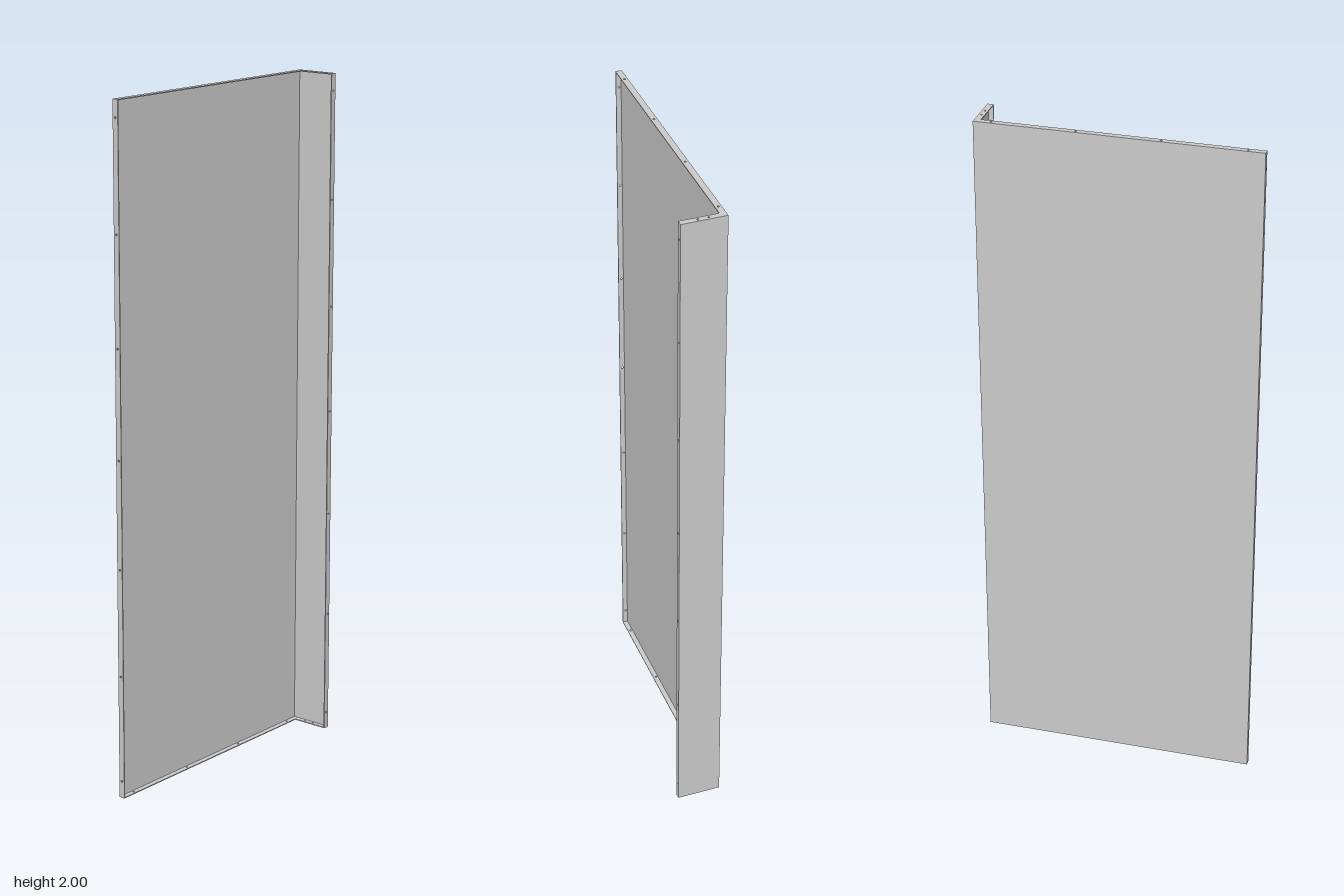
import * as THREE from 'three';

const HEIGHT = 2, LENGTH = 0.815, RETURN = 0.13; // overall panel sizes
const FLANGE = 0.018, SHEET = 0.003, HOLE = 0.003, ANGLE = 0.118;

const material = new THREE.MeshStandardMaterial({ color: 0xcccccc });

// Sheet-metal plate from an outline, with round holes punched through it
function plate(name, points, holes = [], depth = SHEET) {
  const shape = new THREE.Shape(points.map(([x, y]) => new THREE.Vector2(x, y)));
  for (const [x, y] of holes) {
    shape.holes.push(new THREE.Path().absarc(x, y, HOLE, 0, Math.PI * 2, true));
  }
  const geometry = new THREE.ExtrudeGeometry(shape, { depth, bevelEnabled: false, curveSegments: 6 });
  const mesh = new THREE.Mesh(geometry, material);
  mesh.name = name;
  return mesh;
}

// L-shaped plan outline of the given leg width, with the corner at the origin
const planOutline = (w) => [
  [0, 0], [-LENGTH, 0], [-LENGTH, -w], [-w, -w], [-w, -RETURN], [0, -RETURN],
];

export function createModel() {
  const model = new THREE.Group();
  model.name = 'cornerPanel';
  const panel = new THREE.Group();
  panel.name = 'foldedPanel';

  // Wide face and short return, folded from one sheet
  const skin = plate('panelSkin', planOutline(SHEET), [], HEIGHT);
  skin.geometry.rotateX(-Math.PI / 2);
  panel.add(skin);

  // Top and bottom flanges
  const mid = FLANGE / 2;
  const planHoles = [-0.765, -0.527, -0.288, -0.05].map((x) => [x, -mid]);
  planHoles.push([-mid, -0.05], [-mid, -0.08]);
  for (const [name, y] of [['bottomFlange', 0], ['topFlange', HEIGHT - SHEET]]) {
    const flange = plate(name, planOutline(FLANGE), planHoles);
    flange.geometry.rotateX(-Math.PI / 2);
    flange.position.y = y;
    panel.add(flange);
  }

  // Upright flanges along both free edges
  const strip = [[0, 0], [FLANGE, 0], [FLANGE, HEIGHT], [0, HEIGHT]];
  const edgeHoles = Array.from({ length: 7 }, (_, i) => [mid, 0.05 + i * 1.9 / 6]);

  const sideFlange = plate('sideFlange', strip, edgeHoles);
  sideFlange.geometry.rotateY(-Math.PI / 2);
  sideFlange.position.x = -LENGTH + SHEET;
  panel.add(sideFlange);

  const returnFlange = plate('returnFlange', strip, edgeHoles);
  returnFlange.position.set(-FLANGE, 0, RETURN - SHEET);
  panel.add(returnFlange);

  // Turn the panel slightly about its corner
  panel.rotation.y = ANGLE;
  panel.position.set(0.397, 0, -0.0645);
  model.add(panel);
  return model;
}
